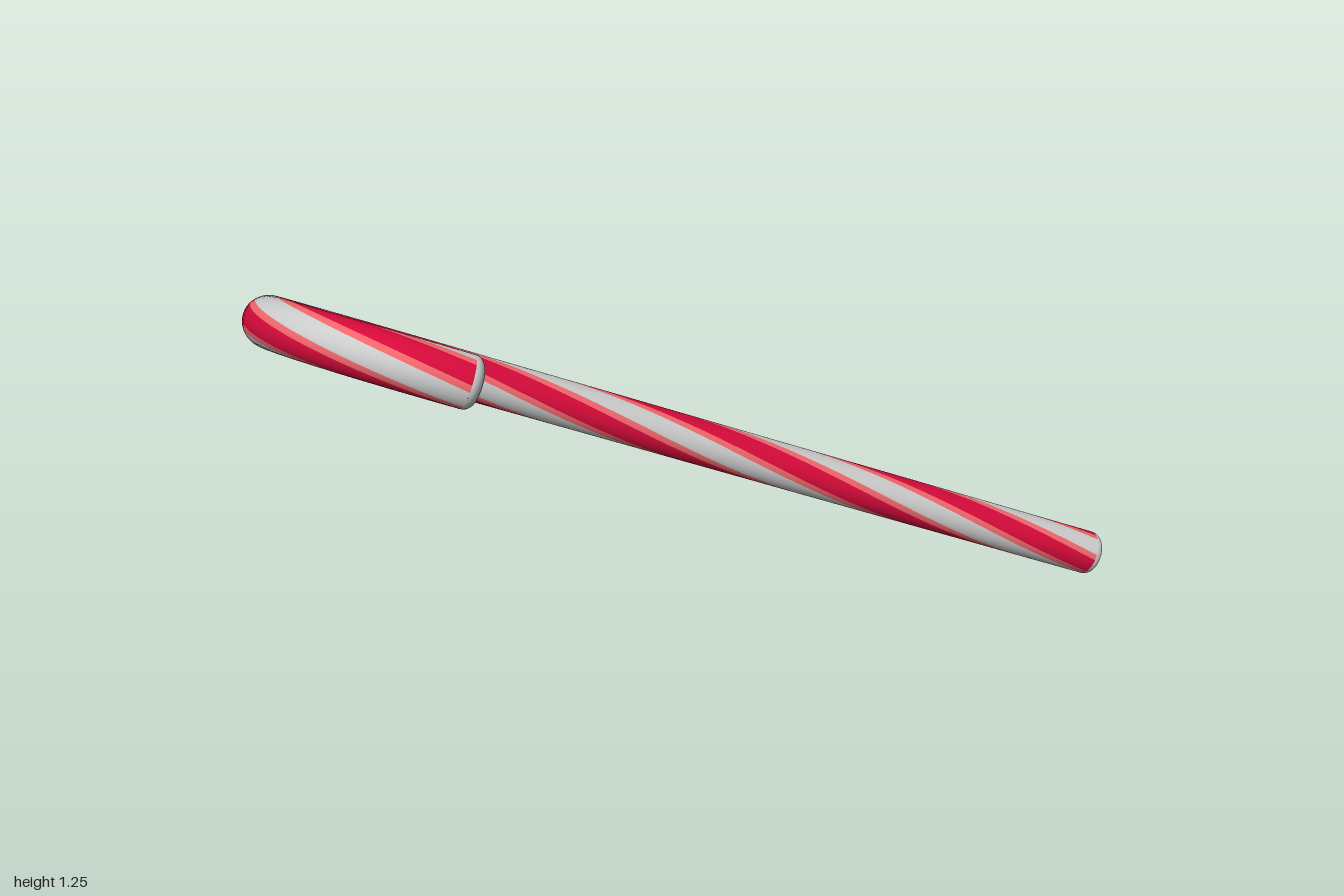
import * as THREE from 'three';
import { ParametricGeometry } from 'three/addons/geometries/ParametricGeometry.js';

const RADIUS = 0.063, DOME = 0.03;
const STRIPES = 3, PITCH = 2.16;          // stripes around, length of one full turn
const HOOK_R = 0.411;                     // radius of the half-circle hook
const START_ANGLE = THREE.MathUtils.degToRad(224.7);
const STEM = 2.08, TOTAL = STEM + Math.PI * HOOK_R;
const START = 0.012, END = TOTAL - 0.012; // where the domed ends begin
const UP = new THREE.Vector3(0.036, 1, -0.577).normalize(); // normal of the cane's plane

// Centre line: straight stem, then a half circle, laid in a tilted plane
function centre(s) {
  const a = START_ANGLE - Math.max(0, s - STEM) / HOOK_R;
  const back = Math.max(0, STEM - s);
  const x = -0.37 + HOOK_R * Math.cos(a) - back * Math.sin(a);
  const z = (0.67 + HOOK_R * Math.sin(a) + back * Math.cos(a)) * 0.866;
  return new THREE.Vector3(x, 0.635 - 0.036 * x + 0.577 * z, z);
}

function tangent(s) {
  return centre(s + 1e-4).sub(centre(s - 1e-4)).normalize();
}

// One twisted strip of the surface between two angles (degrees)
function strip(from, to) {
  return new ParametricGeometry((u, v, target) => {
    const s = START + (END - START) * u;
    const angle = THREE.MathUtils.degToRad(from + (to - from) * v) - s / PITCH * Math.PI * 2;
    const side = UP.clone().cross(tangent(s));
    target.copy(centre(s))
      .addScaledVector(UP, RADIUS * Math.cos(angle))
      .addScaledVector(side, RADIUS * Math.sin(angle));
  }, 160, 6);
}

// Blunt rounded end, base at y = 0
function domeGeometry() {
  const profile = [];
  for (let i = 0; i <= 10; i++) {
    const a = i / 10 * Math.PI / 2;
    const r = i === 10 ? 0 : RADIUS * Math.cos(a) ** 0.6;
    profile.push(new THREE.Vector2(r, DOME * Math.sin(a)));
  }
  return new THREE.LatheGeometry(profile, 36);
}

export function createModel() {
  const group = new THREE.Group();
  group.name = 'candyCane';
  const grey = new THREE.MeshStandardMaterial({ color: 0xcccccc });
  const red = new THREE.MeshStandardMaterial({ color: 0xd60a3a });
  const pink = new THREE.MeshStandardMaterial({ color: 0xf0666a });

  const add = (geometry, material, name) => {
    const mesh = new THREE.Mesh(geometry, material);
    mesh.name = name;
    group.add(mesh);
    return mesh;
  };

  // Twisted stripes: red with pink borders, grey between
  for (let i = 0; i < STRIPES; i++) {
    const mid = 8 + i * 360 / STRIPES;
    add(strip(mid - 22.5, mid + 22.5), red, 'redStripe');
    add(strip(mid - 37.5, mid - 22.5), pink, 'pinkBorder');
    add(strip(mid + 22.5, mid + 37.5), pink, 'pinkBorder');
    add(strip(mid + 37.5, mid + 82.5), grey, 'greyStripe');
  }

  // Rounded grey ends
  for (const [s, sign, name] of [[START, -1, 'stemEnd'], [END, 1, 'hookEnd']]) {
    const cap = add(domeGeometry(), grey, name);
    cap.position.copy(centre(s));
    cap.quaternion.setFromUnitVectors(new THREE.Vector3(0, 1, 0), tangent(s).multiplyScalar(sign));
  }
  return group;
}
